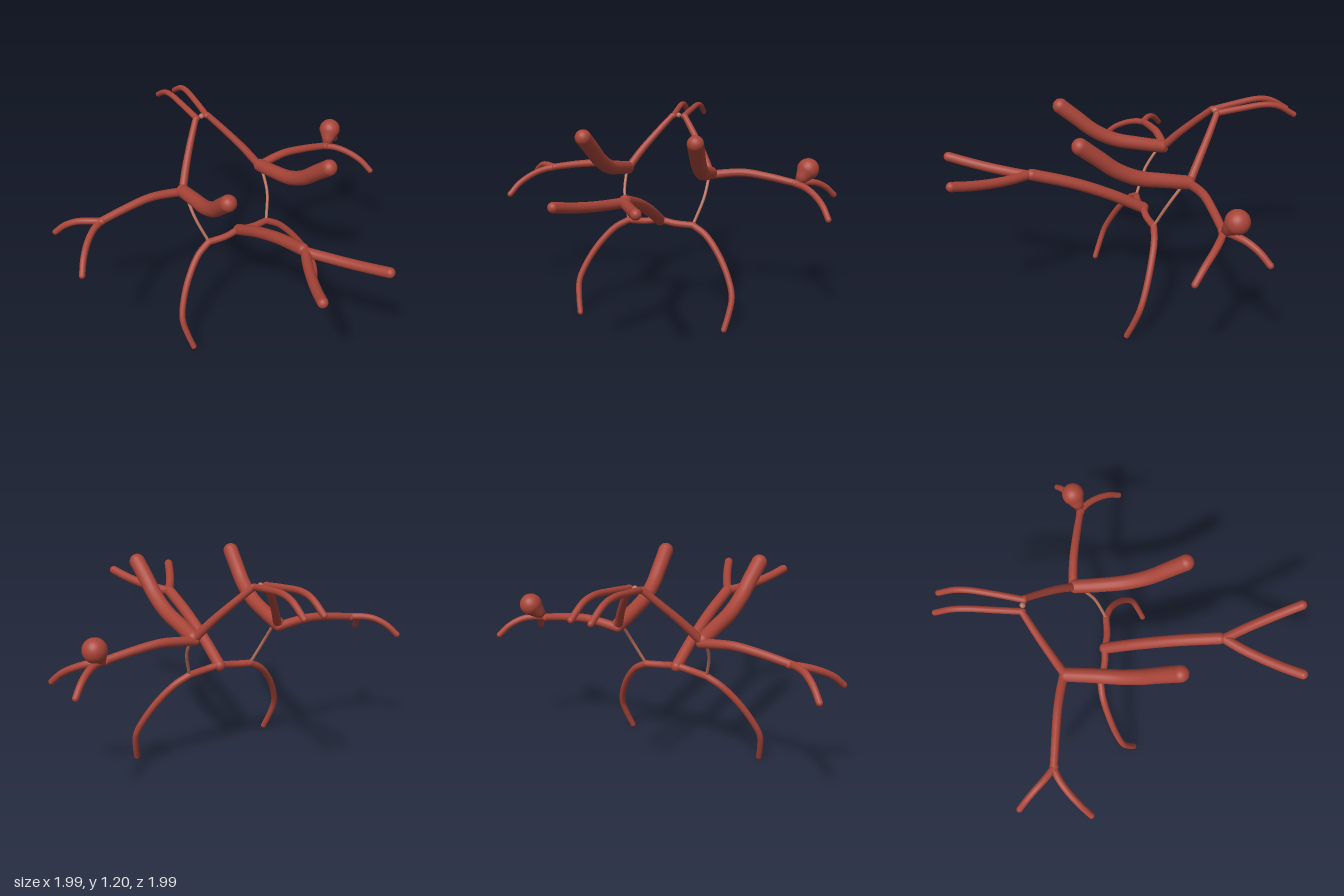
import * as THREE from 'three';

export function createModel() {
  const model = new THREE.Group();
  const red = new THREE.MeshStandardMaterial({ name: 'brick red', color: 0xa84438 });
  const pale = new THREE.MeshStandardMaterial({ name: 'pale clay', color: 0xb8705c });

  const add = (parent, name, geometry, material) => {
    const mesh = new THREE.Mesh(geometry, material);
    mesh.name = name;
    parent.add(mesh);
    return mesh;
  };
  const ball = (parent, name, p, r, material) =>
    add(parent, name, new THREE.SphereGeometry(r, 20, 14), material).position.set(...p);

  // Smooth tapered rod through points, with rounded ends
  function rod(parent, name, points, r0, r1 = r0, material = red) {
    const group = new THREE.Group();
    group.name = name;
    parent.add(group);
    const curve = new THREE.CatmullRomCurve3(points.map(p => new THREE.Vector3(...p)));
    const rings = 32, sides = 16;
    const geo = new THREE.TubeGeometry(curve, rings, 1, sides, false);
    const pos = geo.attributes.position, v = new THREE.Vector3();
    for (let i = 0; i <= rings; i++) {
      const c = curve.getPointAt(i / rings);
      const r = r0 + (r1 - r0) * i / rings;
      for (let j = 0; j <= sides; j++) {
        const k = i * (sides + 1) + j;
        v.fromBufferAttribute(pos, k).sub(c).multiplyScalar(r).add(c);
        pos.setXYZ(k, v.x, v.y, v.z);
      }
    }
    add(group, name + 'Shaft', geo, material);
    ball(group, name + 'Start', points[0], r0, material);
    ball(group, name + 'Tip', points[points.length - 1], r1, material);
  }

  // Central beam
  rod(model, 'centralBeam',
    [[0, 0.585, -0.108], [0, 0.69, 0.08], [0, 0.79, 0.3], [0, 0.868, 0.53]], 0.033);

  // Limbs mirrored on both sides
  for (const s of [1, -1]) {
    const side = new THREE.Group();
    side.name = s > 0 ? 'leftSide' : 'rightSide';
    model.add(side);
    const limb = (name, pts, r0, r1, mat) =>
      rod(side, name, pts.map(([x, y, z]) => [s * x, y, z]), r0, r1, mat);

    limb('frontProng', [[0, 0.868, 0.555], [0.055, 0.875, 0.65], [0.11, 0.89, 0.76],
      [0.16, 0.912, 0.87], [0.2, 0.937, 0.968]], 0.027);
    limb('hip', [[0, 0.59, -0.108], [0.09, 0.575, -0.103], [0.2, 0.567, -0.118]], 0.02);
    limb('leg', [[0.2, 0.567, -0.118], [0.28, 0.52, -0.1], [0.37, 0.42, -0.058],
      [0.44, 0.3, -0.01], [0.473, 0.2, 0.03], [0.463, 0.1, 0.067], [0.445, 0.02, 0.098]],
      0.02, 0.017);
    limb('link', [[0.26, 0.84, -0.265], [0.248, 0.72, -0.185], [0.2, 0.57, -0.118]],
      0.009, 0.009, pale);
    limb('raisedArm', [[0.263, 0.85, -0.29], [0.268, 0.88, -0.15], [0.278, 0.917, 0],
      [0.288, 0.98, 0.12], [0.298, 1.06, 0.215], [0.31, 1.14, 0.31]], 0.039, 0.045);
    limb('sideArm', [[0.26, 0.835, -0.305], [0.35, 0.85, -0.313], [0.46, 0.86, -0.317],
      [0.6, 0.846, -0.315], [0.78, 0.815, -0.31]], 0.026, 0.021);
    limb('backFinger', [[0.76, 0.818, -0.305], [0.83, 0.82, -0.35], [0.88, 0.81, -0.39],
      [0.935, 0.775, -0.437], [0.98, 0.723, -0.477]], 0.02, 0.017);
    limb('frontFinger', [[0.76, 0.815, -0.315], [0.82, 0.805, -0.28], [0.88, 0.78, -0.228],
      [0.94, 0.733, -0.158], [0.98, 0.673, -0.1]], 0.02, 0.017);
    limb('neckStrut', [[0.255, 0.855, -0.305], [0.2, 0.943, -0.365], [0.12, 1.05, -0.445],
      [0.04, 1.148, -0.518]], 0.024, 0.018);
    limb('antenna', [[0.033, 1.148, -0.518], [0.043, 1.167, -0.65], [0.052, 1.182, -0.8],
      [0.055, 1.168, -0.88], [0.056, 1.11, -0.98]], 0.018, 0.016);
  }

  // Small bead between the antenna roots
  ball(model, 'bead', [0, 1.152, -0.522], 0.016, pale);

  // Teardrop knob on the left arm
  const base = new THREE.Vector3(0.785, 0.825, -0.315);
  const top = new THREE.Vector3(0.83, 0.897, -0.355);
  const axis = top.clone().sub(base), length = axis.length();
  const profile = [[0, 0], [0.026, 0], [0.038, length * 0.3], [0.053, length * 0.65]];
  for (let i = 0; i <= 12; i++) {
    const a = -0.4 + (Math.PI / 2 + 0.4) * i / 12;
    profile.push([Math.max(0, 0.064 * Math.cos(a)), length + 0.064 * Math.sin(a)]);
  }
  const knob = add(model, 'knob',
    new THREE.LatheGeometry(profile.map(p => new THREE.Vector2(...p)), 28), red);
  knob.position.copy(base);
  knob.quaternion.setFromUnitVectors(new THREE.Vector3(0, 1, 0), axis.normalize());

  return model;
}
